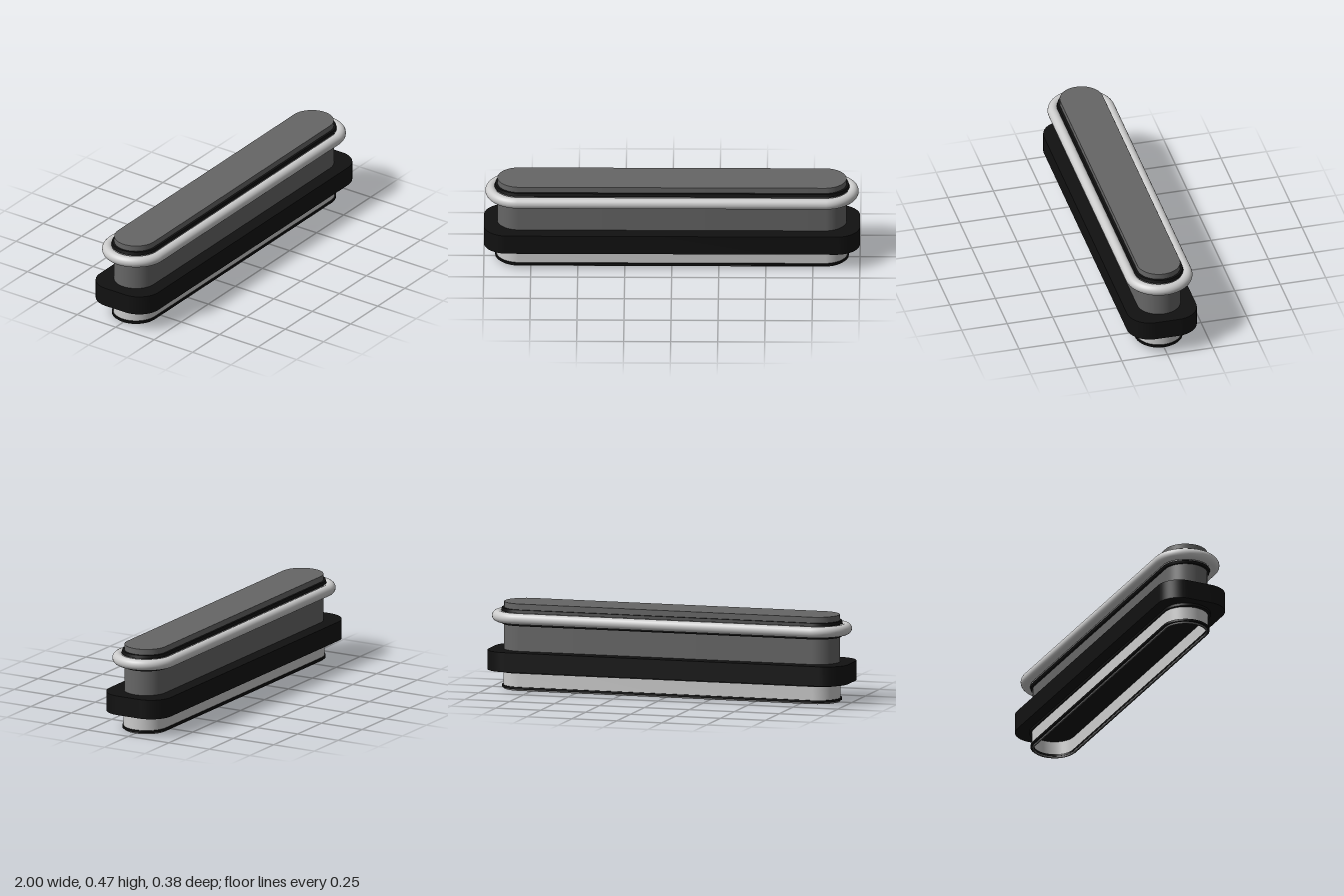
import * as THREE from 'three';
import { toCreasedNormals } from 'three/addons/utils/BufferGeometryUtils.js';

const HALF = 0.812; // half the straight run between the rounded ends
const SEG = 62;     // no vertex falls on x = 0, so round parts split cleanly

// Pull a round form apart along x into a long capsule outline
function stretch(geo, half = HALF) {
  const p = geo.attributes.position;
  for (let i = 0; i < p.count; i++) {
    const x = p.getX(i);
    if (Math.abs(x) > 1e-6) p.setX(i, x + Math.sign(x) * half);
  }
  return geo;
}

// Solid capsule-shaped slab, optionally tapered
function slab(rBottom, rTop, y0, y1, half) {
  const geo = new THREE.CylinderGeometry(rTop, rBottom, y1 - y0, SEG, 1, false, Math.PI / 2);
  geo.translate(0, (y0 + y1) / 2, 0);
  return stretch(geo, half);
}

// Hollow capsule-shaped band
function band(rIn, rOut, y0, y1) {
  const profile = [[rIn, y0], [rOut, y0], [rOut, y1], [rIn, y1], [rIn, y0]]
    .map(([x, y]) => new THREE.Vector2(x, y));
  const geo = stretch(new THREE.LatheGeometry(profile, SEG, Math.PI / 2));
  return toCreasedNormals(geo, 0.6);
}

// Rounded rectangle block lying in the xz plane
function roundedBlock(w, d, r, y0, y1) {
  const s = new THREE.Shape();
  s.moveTo(w - r, -d);
  s.absarc(w - r, -d + r, r, -Math.PI / 2, 0);
  s.absarc(w - r, d - r, r, 0, Math.PI / 2);
  s.absarc(-w + r, d - r, r, Math.PI / 2, Math.PI);
  s.absarc(-w + r, -d + r, r, Math.PI, Math.PI * 1.5);
  s.closePath();
  const geo = new THREE.ExtrudeGeometry(s, { depth: y1 - y0, bevelEnabled: false, curveSegments: 14 });
  geo.rotateX(-Math.PI / 2).translate(0, y0, 0);
  return toCreasedNormals(geo, 0.6);
}

export function createModel() {
  const group = new THREE.Group();
  const mat = (color) => new THREE.MeshStandardMaterial({ color, side: THREE.DoubleSide });
  const light = mat(0xcccccc), dark = mat(0x666666), black = mat(0x111111);
  const add = (name, geo, material) => {
    const mesh = new THREE.Mesh(geo, material);
    mesh.name = name;
    group.add(mesh);
  };

  // Hollow foot with its trim
  add('footEdge', band(0.11, 0.117, 0, 0.01), dark);
  add('footTrim', band(0.109, 0.128, 0.009, 0.021), black);
  add('footWall', band(0.112, 0.121, 0.01, 0.1), light);
  add('collarBelowBlock', slab(0.128, 0.128, 0.094, 0.11, 0.825), black);

  // Wide black block
  add('block', roundedBlock(1, 0.19, 0.125, 0.108, 0.213), black);

  // Upper body
  add('core', slab(0.117, 0.116, 0.2, 0.467), dark);

  // Rounded rail held between two tapered gaskets
  add('lowerGasket', slab(0.127, 0.131, 0.349, 0.363), black);
  add('upperGasket', slab(0.132, 0.128, 0.419, 0.436), black);
  const rail = new THREE.TorusGeometry(0.151, 0.03, 20, SEG);
  rail.rotateX(-Math.PI / 2).translate(0, 0.391, 0);
  add('rail', stretch(rail), light);

  return group;
}
